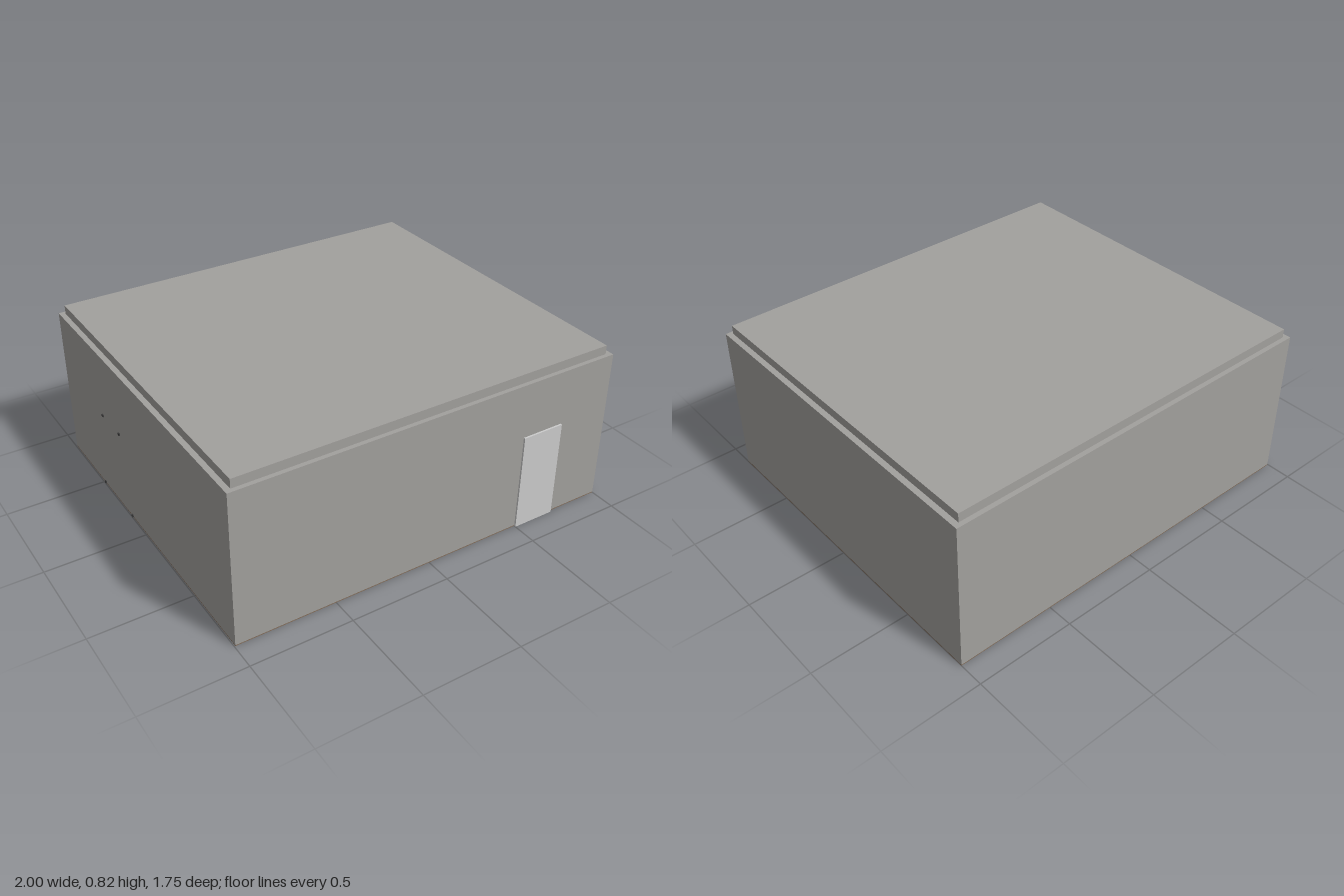
import * as THREE from 'three';

const mat = (name, color) => {
  const m = new THREE.MeshStandardMaterial({ color });
  m.name = name;
  return m;
};

export function createModel() {
  const concrete = mat('concrete grey', 0xa2a09d);
  const pale = mat('pale grey', 0xcccccc);
  const brown = mat('floor brown', 0x846f5c);
  const dark = mat('dark fitting', 0x3a3a3a);

  const model = new THREE.Group();
  model.name = 'building';

  // Box given by its minimum and maximum corners
  const box = (name, material, [x0, y0, z0], [x1, y1, z1]) => {
    const mesh = new THREE.Mesh(new THREE.BoxGeometry(x1 - x0, y1 - y0, z1 - z0), material);
    mesh.position.set((x0 + x1) / 2, (y0 + y1) / 2, (z0 + z1) / 2);
    mesh.name = name;
    model.add(mesh);
  };

  // Floor slab, walls and the inset roof slab
  box('floor', brown, [-0.995, 0, -0.875], [1, 0.005, 0.868]);
  box('walls', concrete, [-0.995, 0.005, -0.875], [1, 0.78, 0.868]);
  box('roof', concrete, [-0.968, 0.78, -0.852], [0.972, 0.825, 0.847]);

  // Door slab standing just proud of the front wall
  box('door', pale, [0.5, 0, 0.86], [0.72, 0.5, 0.877]);

  // Small tips showing through the right wall: two at the foot, two higher up
  for (const [y, z] of [[0.008, -0.485], [0.008, -0.16], [0.44, -0.41], [0.44, -0.22]]) {
    box('wallTip', dark, [-1, y - 0.006, z - 0.007], [-0.99, y + 0.006, z + 0.007]);
  }

  return model;
}
